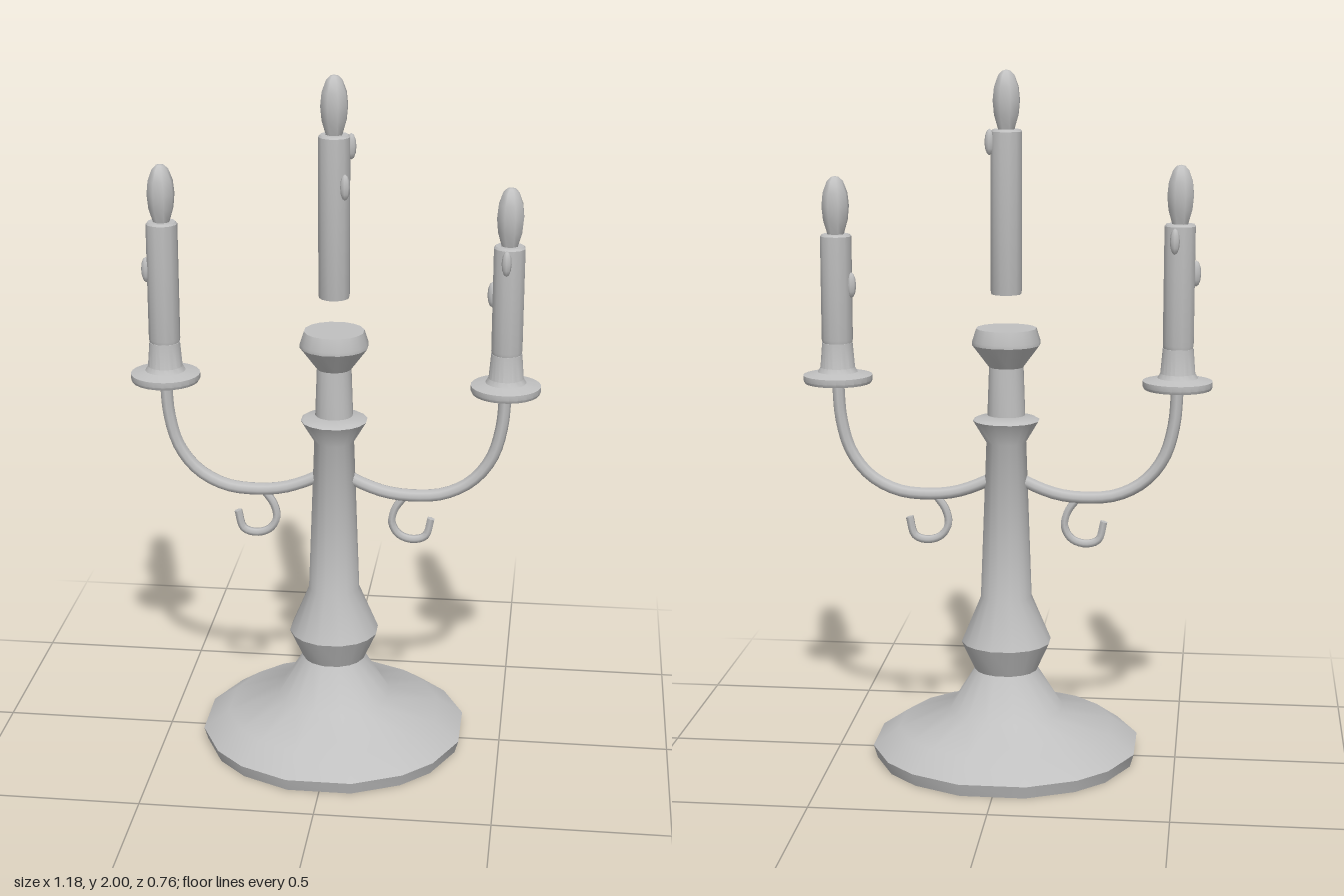
import * as THREE from 'three';
import { toCreasedNormals } from 'three/addons/utils/BufferGeometryUtils.js';

const metal = new THREE.MeshStandardMaterial({ color: 0xc0c0c0 });
metal.name = 'plain grey';

function part(name, geometry, parent) {
  const mesh = new THREE.Mesh(geometry, metal);
  mesh.name = name;
  parent.add(mesh);
  return mesh;
}

// Turned part; profile is [radius, y] pairs from bottom to top
function turned(profile, sides, crease = 0.6, warp = 0) {
  const points = profile.map(([r, y]) => new THREE.Vector2(r, y));
  const geometry = new THREE.LatheGeometry(points, sides, Math.PI / sides);
  const pos = geometry.attributes.position;
  // Uneven spacing of the corners around the axis
  for (let i = 0; i < pos.count; i++) {
    const x = pos.getX(i), z = pos.getZ(i);
    const r = Math.hypot(x, z);
    const a = Math.atan2(x, z);
    const b = a + warp * Math.sin(4 * a);
    pos.setX(i, r * Math.sin(b));
    pos.setZ(i, r * Math.cos(b));
  }
  return toCreasedNormals(geometry, crease);
}

// Bent rod in the xy plane with closed ends
function rod(name, coords, radius, sides, parent, zScale = 1) {
  const curve = new THREE.CatmullRomCurve3(coords.map(([x, y]) => new THREE.Vector3(x, y, 0)));
  const group = new THREE.Group();
  group.name = name;
  group.scale.z = zScale;
  part(name + 'Rod', new THREE.TubeGeometry(curve, 24, radius, sides), group);
  for (const t of [0, 1]) {
    const cap = part(name + 'End', new THREE.CircleGeometry(radius, sides), group);
    const p = curve.getPoint(t);
    const d = curve.getTangent(t).multiplyScalar(t ? 1 : -1);
    cap.position.copy(p);
    cap.lookAt(p.clone().add(d));
  }
  parent.add(group);
}

// Candle with flame bulb and wax drips given as [dx, y, dz]
function candle(name, x, bottom, top, drips, parent) {
  const group = new THREE.Group();
  group.name = name;
  group.position.x = x;
  part('wax', turned([[0, bottom], [0.043, bottom], [0.045, bottom + 0.01],
    [0.045, top - 0.006], [0.04, top], [0, top]], 12), group);
  part('flame', turned([[0, -0.005], [0.024, 0], [0.036, 0.04], [0.04, 0.08],
    [0.036, 0.118], [0.024, 0.15], [0.012, 0.162], [0, 0.165]]
    .map(([r, y]) => [r, y + top]), 8, 0.9), group);
  for (const [dx, y, dz] of drips) {
    const drip = part('drip', new THREE.SphereGeometry(1, 8, 6), group);
    drip.scale.set(0.014, 0.037, 0.014);
    drip.position.set(dx, y, dz);
  }
  parent.add(group);
}

export function createModel() {
  const model = new THREE.Group();
  model.name = 'candelabra';

  // Foot and stem
  part('stem', turned([
    [0, 0], [0.383, 0], [0.394, 0.037], [0.318, 0.09], [0.168, 0.14],
    [0.093, 0.26], [0.132, 0.345], [0.075, 0.48], [0.058, 0.94],
    [0.097, 1.005], [0.088, 1.01], [0, 1.005],
  ], 16, 0.75, 0.065), model);

  // Neck under the middle candle
  part('neck', turned([
    [0, 1.02], [0.055, 1.02], [0.05, 1.16], [0.099, 1.225],
    [0.099, 1.235], [0.087, 1.272], [0, 1.272],
  ], 16, 0.6, 0.065), model);

  // Arms, hooks and drip pans on both sides
  for (const s of [-1, 1]) {
    const side = new THREE.Group();
    side.name = s > 0 ? 'leftArm' : 'rightArm';
    const mirror = (list) => list.map(([x, y]) => [s * x, y]);
    rod('arm', mirror([[0.03, 0.837], [0.08, 0.812], [0.15, 0.788], [0.23, 0.78], [0.32, 0.79],
      [0.4, 0.833], [0.455, 0.905], [0.482, 1.0], [0.49, 1.11]]), 0.018, 8, side, 1.3);
    rod('hook', mirror([[0.205, 0.775], [0.178, 0.735], [0.17, 0.692], [0.19, 0.657], [0.23, 0.643],
      [0.268, 0.655], [0.284, 0.71]]), 0.012, 6, side);
    const pan = part('dripPan', turned([[0, 1.105], [0.096, 1.105], [0.1, 1.113], [0.1, 1.128],
      [0.058, 1.137], [0.05, 1.15], [0.044, 1.222], [0, 1.222]], 24, 0.5), side);
    pan.position.x = s * 0.49;
    model.add(side);
  }

  // Candles
  candle('middleCandle', 0, 1.37, 1.835, [[0.034, 1.695, 0.036], [0.046, 1.8, -0.016]], model);
  candle('rightCandle', -0.49, 1.222, 1.575, [[-0.047, 1.435, 0.006], [0.013, 1.53, -0.046]], model);
  candle('leftCandle', 0.49, 1.222, 1.535, [[-0.006, 1.495, 0.046], [-0.045, 1.39, -0.01]], model);

  return model;
}
